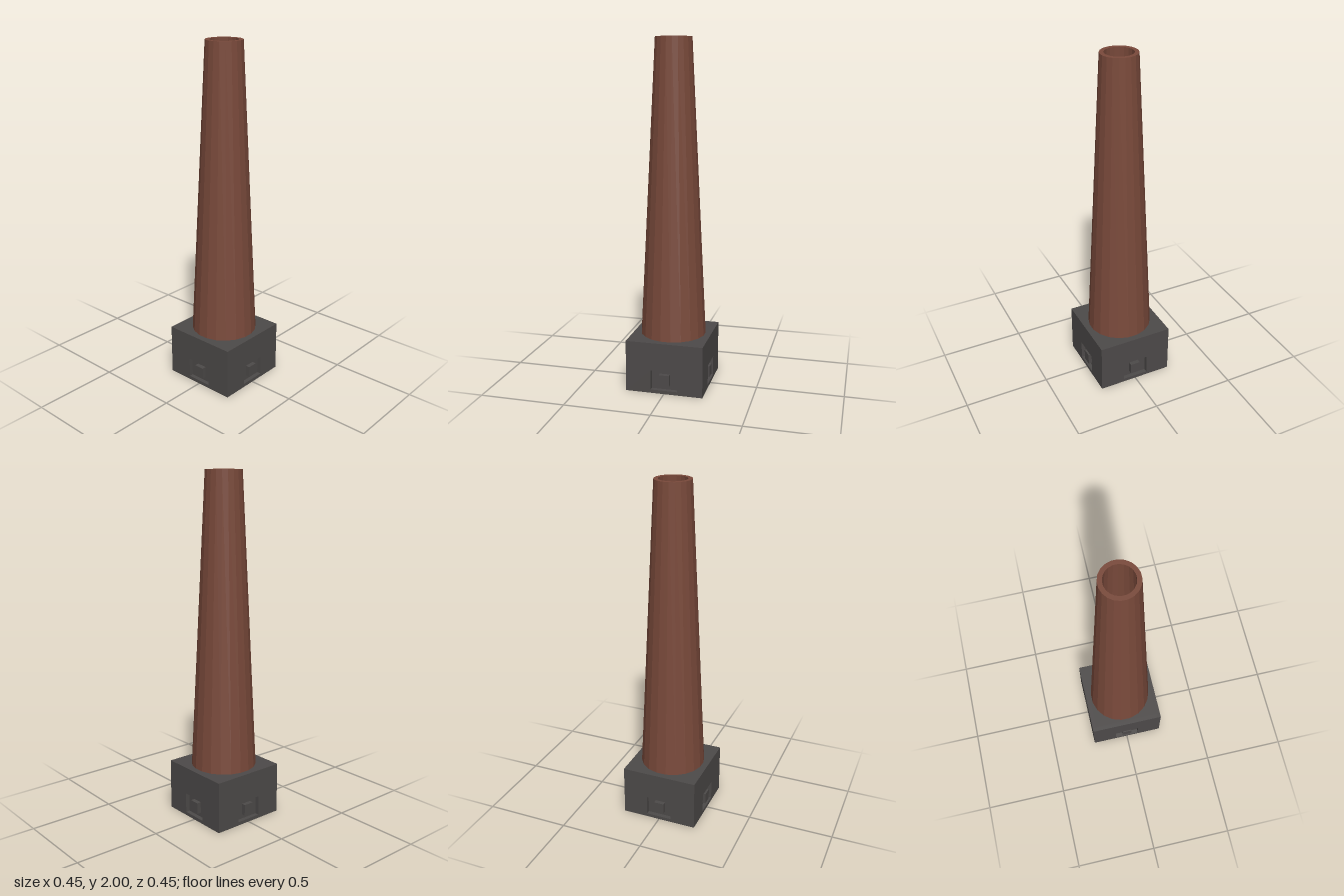
import * as THREE from 'three';

const SIDES = 20;
const BASE = { half: 0.225, height: 0.3, recess: 0.025 };

export function createModel() {
  const model = new THREE.Group();
  model.name = 'chimney';
  const brick = new THREE.MeshStandardMaterial({ color: 0x7a4a3b, flatShading: true });
  brick.name = 'brick red';
  const stone = new THREE.MeshStandardMaterial({ color: 0x4d4a49, flatShading: true });
  stone.name = 'dark stone';

  const add = (parent, name, geometry, material, x = 0, y = 0, z = 0) => {
    const mesh = new THREE.Mesh(geometry, material);
    mesh.name = name;
    mesh.position.set(x, y, z);
    parent.add(mesh);
    return mesh;
  };

  // Tapered hollow stack: up the outside, over the rim, down the inside
  const profile = [[0.19, BASE.height], [0.104, 2], [0.08, 2], [0.165, BASE.height]]
    .map(([r, y]) => new THREE.Vector2(r, y));
  add(model, 'stack', new THREE.LatheGeometry(profile, SIDES, Math.PI / SIDES, Math.PI * 2), brick);

  // Base core, whose sides form the floors of the recesses
  const { half, height, recess } = BASE;
  const core = (half - recess) * 2;
  add(model, 'baseCore', new THREE.BoxGeometry(core, height, core), stone, 0, height / 2, 0);

  // Wall slab with a hatch opening; four slabs meet in a pinwheel at the corners
  const wall = new THREE.Shape();
  wall.moveTo(-half, 0);
  wall.lineTo(half - recess, 0);
  wall.lineTo(half - recess, height);
  wall.lineTo(-half, height);
  wall.closePath();
  const opening = new THREE.Path();
  opening.moveTo(-0.077, 0.02);
  opening.lineTo(-0.077, 0.137);
  opening.lineTo(0.077, 0.137);
  opening.lineTo(0.077, 0.02);
  opening.closePath();
  wall.holes.push(opening);
  const wallGeometry = new THREE.ExtrudeGeometry(wall, { depth: recess, bevelEnabled: false });
  const blockGeometry = new THREE.BoxGeometry(0.06, 0.066, recess);

  ['front', 'left', 'back', 'right'].forEach((side, i) => {
    const group = new THREE.Group();
    group.name = `${side}Side`;
    group.rotation.y = i * Math.PI / 2;
    add(group, `${side}Wall`, wallGeometry, stone, 0, 0, half - recess);
    // Small block standing inside the recess
    add(group, `${side}HatchBlock`, blockGeometry, stone, 0, 0.079, half - recess / 2);
    model.add(group);
  });

  return model;
}
